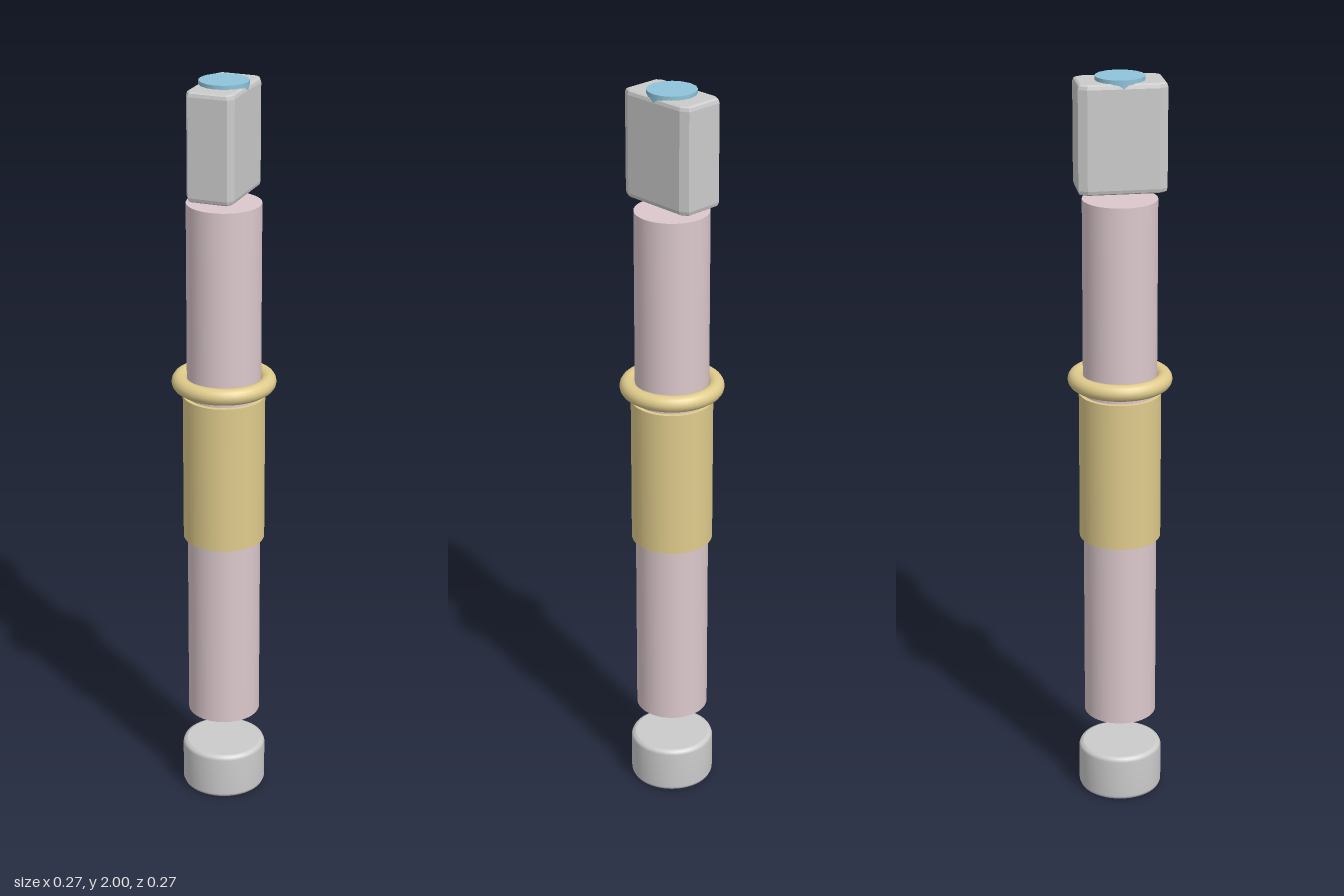
import * as THREE from 'three';

const grey = new THREE.MeshStandardMaterial({ color: 0xcccccc });
const pink = new THREE.MeshStandardMaterial({ color: 0xdcc8cc });
const gold = new THREE.MeshStandardMaterial({ color: 0xdfcb8c });
const blue = new THREE.MeshStandardMaterial({ color: 0x8fc4da });

export function createModel() {
  const model = new THREE.Group();

  const add = (name, geometry, material, y) => {
    const mesh = new THREE.Mesh(geometry, material);
    mesh.name = name;
    mesh.position.y = y;
    model.add(mesh);
    return mesh;
  };

  // Upright cylinder between two heights
  const cylinder = (name, radius, bottom, top, material, sides = 48) =>
    add(name, new THREE.CylinderGeometry(radius, radius, top - bottom, sides), material, (bottom + top) / 2);

  // Base puck with softened rims: flat caps and wall are separate so they stay crisp
  const r = 0.113, h = 0.13, b = 0.012;
  const profiles = {
    baseBottom: [[0, 0], [r - b, 0]],
    baseWall: [[r - b, 0], [r - b * 0.3, b * 0.3], [r, b], [r, h - b], [r - b * 0.3, h - b * 0.3], [r - b, h]],
    baseTop: [[r - b, h], [0, h]],
  };
  for (const [name, points] of Object.entries(profiles)) {
    add(name, new THREE.LatheGeometry(points.map(([x, y]) => new THREE.Vector2(x, y)), 48), grey, 0);
  }

  // Shaft, sleeve and collar ring
  cylinder('shaft', 0.097, 0.232, 1.685, pink);
  cylinder('sleeve', 0.108, 0.757, 1.163, gold);
  add('collarRing', new THREE.TorusGeometry(0.115, 0.022, 16, 64).rotateX(Math.PI / 2), gold, 1.201);

  // Head block: chamfered plan, bevelled at top and bottom
  const w = 0.064, d = 0.113, cx = 0.012, cd = 0.022, bevel = 0.012;
  const plan = new THREE.Shape([
    [w, -d + cd], [w, d - cd], [w - cx, d], [-w + cx, d],
    [-w, d - cd], [-w, -d + cd], [-w + cx, -d], [w - cx, -d],
  ].map(([x, z]) => new THREE.Vector2(x, z)));
  const head = new THREE.ExtrudeGeometry(plan, {
    depth: 0.28 - 2 * bevel, bevelThickness: bevel, bevelSize: 0.008, bevelOffset: -0.008, bevelSegments: 2,
  }).rotateX(-Math.PI / 2);
  add('headBlock', head, grey, 1.71 + bevel);

  // Button on top of the head
  cylinder('topButton', 0.064, 1.975, 2, blue, 16);

  return model;
}
